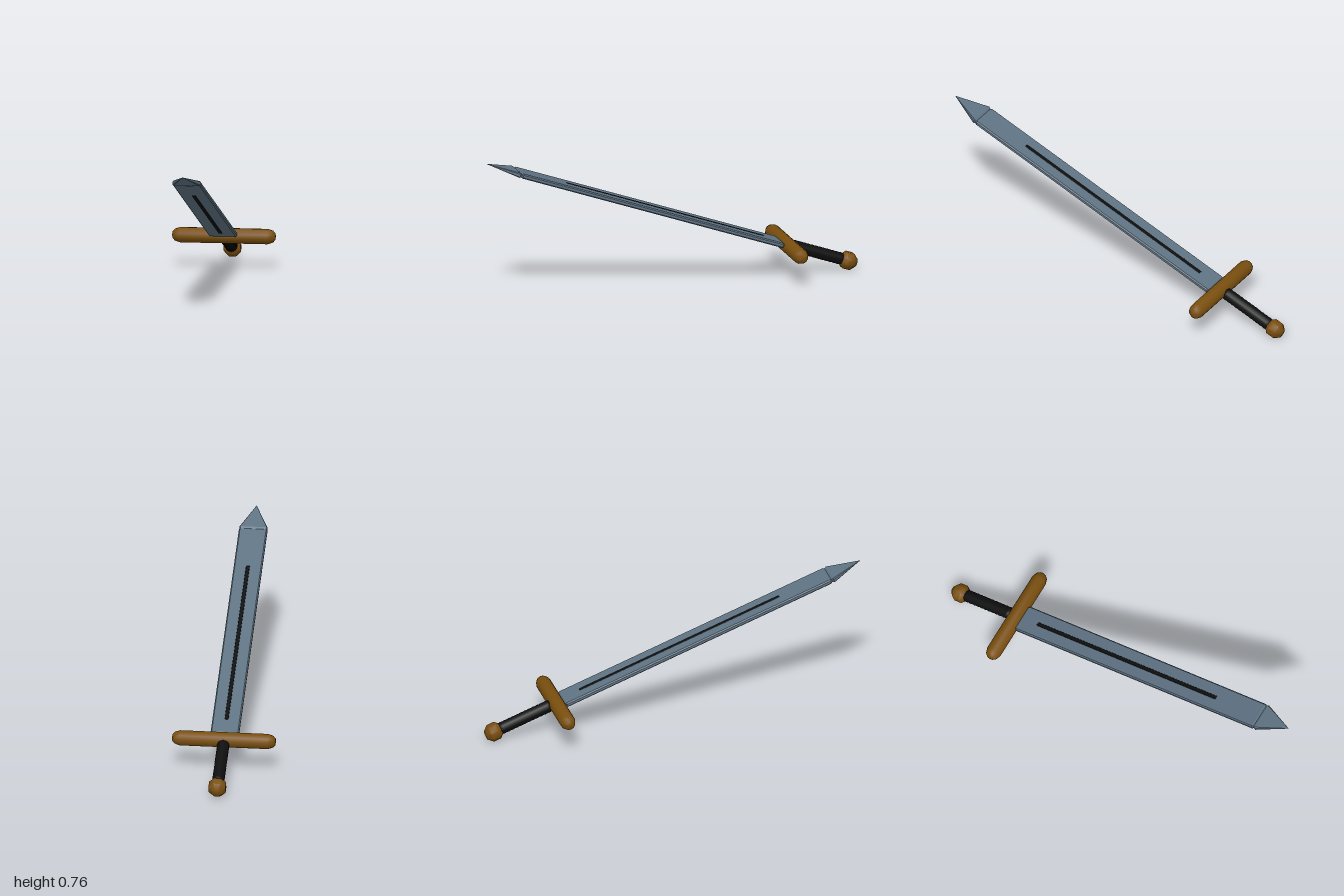
import * as THREE from 'three';
import { toCreasedNormals } from 'three/addons/utils/BufferGeometryUtils.js';

const steel = new THREE.MeshStandardMaterial({ color: 0x5f7383 });
steel.name = 'steel';
const bronze = new THREE.MeshStandardMaterial({ color: 0x7a4f0e });
bronze.name = 'bronze';
const black = new THREE.MeshStandardMaterial({ color: 0x0e0e0e });
black.name = 'black';

// Lofts chamfered rectangles along z; each section is [z, halfWidth, halfHeight, chamfer]
function loft(sections) {
  const rings = sections.map(([z, w, h, c]) => [
    [w, -h + c], [w, h - c], [w - c, h], [-w + c, h],
    [-w, h - c], [-w, -h + c], [-w + c, -h], [w - c, -h],
  ].map(([x, y]) => [x, y, z]));
  const pos = [];
  for (let i = 0; i < rings.length - 1; i++) {
    const a = rings[i], b = rings[i + 1];
    for (let j = 0; j < 8; j++) {
      const k = (j + 1) % 8;
      pos.push(...a[j], ...a[k], ...b[k], ...a[j], ...b[k], ...b[j]);
    }
  }
  const geo = new THREE.BufferGeometry();
  geo.setAttribute('position', new THREE.Float32BufferAttribute(pos, 3));
  geo.computeVertexNormals();
  return geo;
}

// Turned part around the y axis, profile given as [radius, y] from low to high
function turned(profile, sides, start = 0, crease = 0.9) {
  const pts = profile.map(([r, y]) => new THREE.Vector2(r, y));
  return toCreasedNormals(new THREE.LatheGeometry(pts, sides, start), crease);
}

export function createModel() {
  const sword = new THREE.Group();
  sword.name = 'sword';
  const add = (name, geo, mat) => {
    const mesh = new THREE.Mesh(geo, mat);
    mesh.name = name;
    sword.add(mesh);
  };

  // Blade: flat bar with chamfered edges and ends
  add('blade', loft([
    [-0.625, 0, 0, 0],
    [-0.625, 0.065, 0.007, 0.003],
    [-0.615, 0.073, 0.0125, 0.006],
    [0.877, 0.073, 0.0125, 0.006],
    [0.885, 0.067, 0.007, 0.003],
    [0.885, 0, 0, 0],
  ]), steel);

  // Tip: flattened pyramid
  add('bladeTip', loft([
    [0.884, 0, 0, 0],
    [0.884, 0.068, 0.008, 0.003],
    [0.895, 0.073, 0.0125, 0.005],
    [1.063, 0.0005, 0.0005, 0.0002],
    [1.064, 0, 0, 0],
  ]), steel);

  // Dark inlay showing on both faces of the blade
  add('fuller', loft([
    [-0.523, 0, 0, 0],
    [-0.523, 0.007, 0.0138, 0.001],
    [-0.518, 0.01, 0.0138, 0.001],
    [0.604, 0.01, 0.0138, 0.001],
    [0.609, 0.007, 0.0138, 0.001],
    [0.609, 0, 0, 0],
  ]), black);

  // Crossguard: round bar with blunt ends
  const guard = turned([
    [0, -0.266], [0.017, -0.265], [0.031, -0.253], [0.04, -0.226],
    [0.04, 0.226], [0.031, 0.253], [0.017, 0.265], [0, 0.266],
  ], 12).rotateZ(-Math.PI / 2).translate(0, 0, -0.66);
  add('crossguard', guard, bronze);

  // Grip: finely ribbed cylinder with rounded ends
  const grip = [[0, -0.98], [0.024, -0.98]];
  for (let i = 0; i <= 24; i++) {
    grip.push([i % 2 ? 0.032 : 0.0302, -0.972 + i * 0.0115]);
  }
  grip.push([0.024, -0.688], [0, -0.688]);
  add('grip', turned(grip, 16).rotateX(Math.PI / 2), black);

  // Pommel: eight-sided knob
  const pommel = turned([
    [0, -0.049], [0.022, -0.047], [0.047, -0.02],
    [0.047, 0.02], [0.022, 0.046], [0, 0.048],
  ], 8, Math.PI / 8).rotateX(Math.PI / 2).translate(0, 0, -1.01);
  add('pommel', pommel, bronze);

  // The whole sword leans with its tip raised
  sword.rotation.x = -Math.PI / 9;
  sword.position.y = 0.396;
  const model = new THREE.Group();
  model.name = 'model';
  model.add(sword);
  return model;
}
